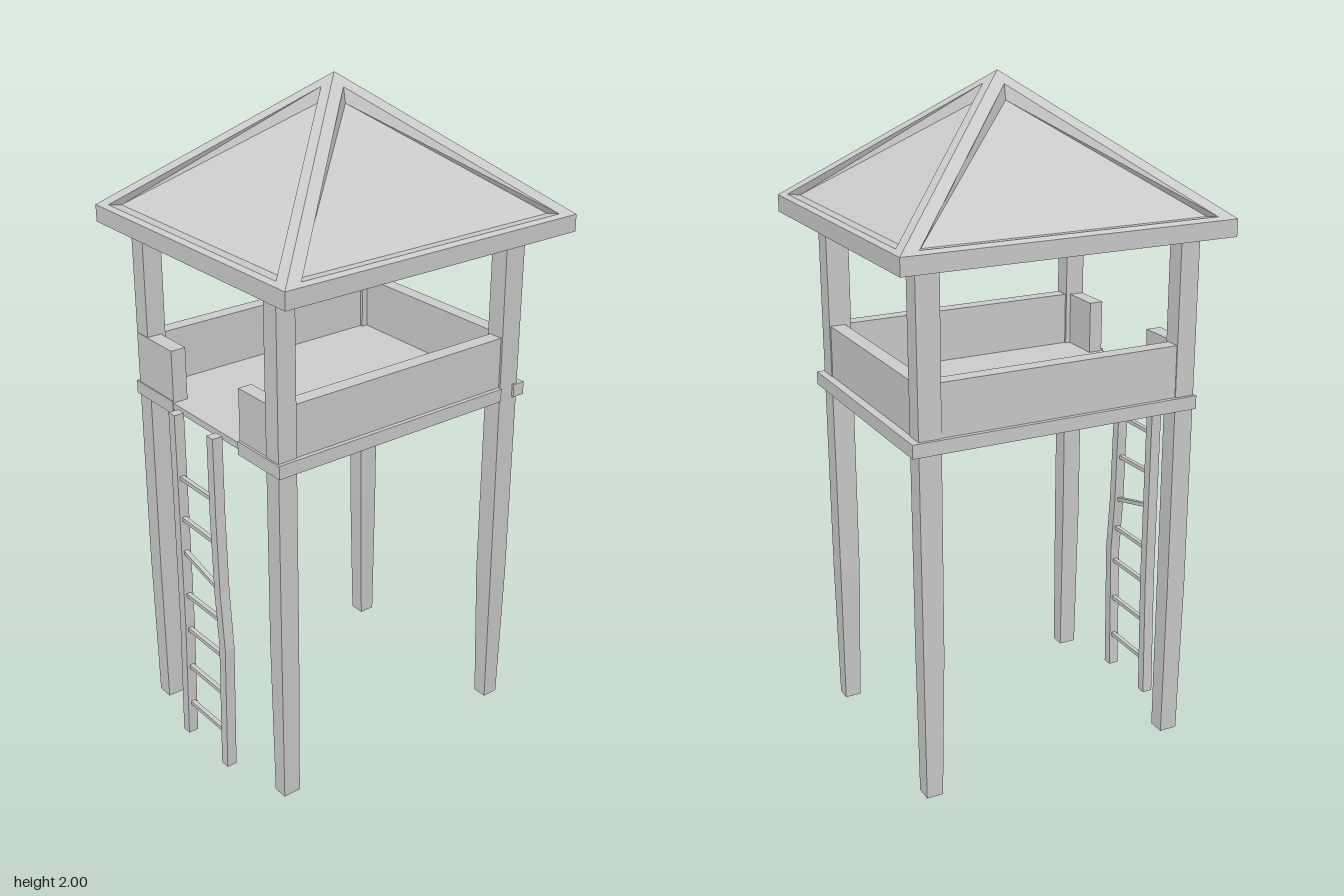
import * as THREE from 'three';

const material = new THREE.MeshStandardMaterial({ color: 0xcccccc, flatShading: true });

function addMesh(parent, name, geometry) {
  const mesh = new THREE.Mesh(geometry, material);
  mesh.name = name;
  parent.add(mesh);
  return mesh;
}

// Box given by its limits on each axis
function addBox(parent, name, [x0, x1], [y0, y1], [z0, z1]) {
  const geometry = new THREE.BoxGeometry(x1 - x0, y1 - y0, z1 - z0);
  geometry.translate((x0 + x1) / 2, (y0 + y1) / 2, (z0 + z1) / 2);
  return addMesh(parent, name, geometry);
}

// Hand-hewn timber: a box passing through stations [y, x0, x1, z0, z1], bottom to top
function addTimber(parent, name, stations) {
  const n = stations.length - 1;
  const geometry = new THREE.BoxGeometry(1, 1, 1, 1, n, 1);
  const pos = geometry.attributes.position;
  for (let i = 0; i < pos.count; i++) {
    const [y, x0, x1, z0, z1] = stations[Math.round((pos.getY(i) + 0.5) * n)];
    pos.setXYZ(i, pos.getX(i) < 0 ? x0 : x1, y, pos.getZ(i) < 0 ? z0 : z1);
  }
  geometry.computeVertexNormals();
  return addMesh(parent, name, geometry);
}

// Mesh from triangles and quads, corners counter-clockwise
function addFaces(parent, name, faces) {
  const points = [];
  for (const f of faces) {
    for (let i = 1; i < f.length - 1; i++) points.push(f[0], f[i], f[i + 1]);
  }
  const geometry = new THREE.BufferGeometry().setFromPoints(points);
  geometry.computeVertexNormals();
  return addMesh(parent, name, geometry);
}

// Rectangle corners, going round from front -x to front +x to back
const ring = (w, d, y) =>
  [[-1, 1], [1, 1], [1, -1], [-1, -1]].map(([sx, sz]) => new THREE.Vector3(sx * w, y, sz * d));

function buildRoof() {
  const roof = new THREE.Group();
  roof.name = 'roof';
  const apex = new THREE.Vector3(-0.01, 2, -0.01);
  const innerApex = new THREE.Vector3(-0.01, 1.93, -0.01);
  const low = ring(0.45, 0.5, 1.57);
  const eave = ring(0.45, 0.5, 1.62);
  const lowInner = ring(0.415, 0.455, 1.57);
  const topInner = ring(0.415, 0.455, 1.6);
  const rim = [], hips = [], panels = [], ceiling = [];

  for (let i = 0; i < 4; i++) {
    const j = (i + 1) % 4;
    // Point on the roof slope by weights, lowered by drop
    const at = (a, b, c, drop = 0) => new THREE.Vector3()
      .addScaledVector(eave[i], a).addScaledVector(eave[j], b).addScaledVector(apex, c)
      .add(new THREE.Vector3(0, -drop, 0));
    const outer = [eave[i], eave[j], apex];
    const edge = [at(0.93, 0.046, 0.024), at(0.046, 0.93, 0.024), at(0.045, 0.045, 0.91)];
    const sunk = [at(0.88, 0.03, 0.09, 0.028), at(0.03, 0.88, 0.09, 0.028), at(0.055, 0.055, 0.89, 0.035)];
    for (let k = 0; k < 3; k++) {
      const m = (k + 1) % 3;
      hips.push([outer[k], outer[m], edge[m], edge[k]], [edge[k], edge[m], sunk[m], sunk[k]]);
    }
    panels.push(sunk);
    rim.push(
      [low[i], low[j], eave[j], eave[i]],
      [low[j], low[i], lowInner[i], lowInner[j]],
      [lowInner[j], lowInner[i], topInner[i], topInner[j]],
    );
    ceiling.push([topInner[j], topInner[i], innerApex]);
  }
  addFaces(roof, 'eaveRim', rim);
  addFaces(roof, 'hipBeams', hips);
  addFaces(roof, 'roofPanels', panels);
  addFaces(roof, 'roofUnderside', ceiling);
  return roof;
}

function buildPosts() {
  const posts = new THREE.Group();
  posts.name = 'posts';
  const top = 1.61;
  addTimber(posts, 'frontLeftPost', [
    [0, 0.285, 0.33, 0.385, 0.44], [0.5, 0.28, 0.335, 0.385, 0.445], [top, 0.28, 0.335, 0.385, 0.445]]);
  addTimber(posts, 'frontRightPost', [
    [0, -0.35, -0.298, 0.385, 0.44], [0.5, -0.355, -0.298, 0.385, 0.445], [top, -0.355, -0.298, 0.385, 0.445]]);
  addTimber(posts, 'backLeftPost', [
    [0, 0.285, 0.33, -0.41, -0.36], [0.45, 0.275, 0.338, -0.415, -0.352], [top, 0.28, 0.338, -0.42, -0.35]]);
  addTimber(posts, 'backRightPost', [
    [0, -0.35, -0.3, -0.41, -0.36], [0.45, -0.355, -0.298, -0.415, -0.352], [top, -0.355, -0.298, -0.42, -0.35]]);
  return posts;
}

function buildPlatform() {
  const platform = new THREE.Group();
  platform.name = 'platform';
  addBox(platform, 'floor', [-0.345, 0.325], [1.07, 1.09], [-0.42, 0.448]);

  // Trim boards round the floor, open in front at the ladder
  const trim = [1.055, 1.095];
  addBox(platform, 'leftTrim', [0.305, 0.345], trim, [-0.35, 0.45]);
  addBox(platform, 'rightTrim', [-0.365, -0.325], trim, [-0.44, 0.45]);
  addBox(platform, 'backTrim', [-0.365, 0.345], trim, [-0.44, -0.4]);
  addBox(platform, 'frontTrimRight', [-0.365, -0.17], trim, [0.41, 0.45]);
  addBox(platform, 'frontTrimLeft', [0.155, 0.345], trim, [0.41, 0.45]);

  // Parapet walls
  const wall = [1.085, 1.25];
  addBox(platform, 'leftWall', [0.287, 0.332], wall, [-0.36, 0.4]);
  addBox(platform, 'rightWall', [-0.352, -0.307], wall, [-0.36, 0.4]);
  addBox(platform, 'backWall', [-0.31, 0.29], wall, [-0.415, -0.37]);
  addBox(platform, 'frontWallRight', [-0.352, -0.17], wall, [0.4, 0.447]);
  addBox(platform, 'frontWallLeft', [0.155, 0.29], wall, [0.4, 0.443]);
  return platform;
}

function buildLadder() {
  const ladder = new THREE.Group();
  ladder.name = 'ladder';
  // Crooked rails: [y, centre x, centre z]
  const rails = {
    rightRail: [[0, -0.111, 0.479], [0.4, -0.104, 0.477], [0.75, -0.108, 0.476], [1.09, -0.111, 0.476]],
    leftRail: [[0, 0.1, 0.479], [0.2, 0.105, 0.479], [0.42, 0.107, 0.477], [0.6, 0.09, 0.476],
      [0.85, 0.082, 0.476], [1.09, 0.081, 0.476]],
  };
  for (const [name, path] of Object.entries(rails)) {
    addTimber(ladder, name, path.map(([y, x, z]) => [y, x - 0.015, x + 0.015, z - 0.016, z + 0.016]));
  }
  // Rungs: height, and how far the left end sinks below the right end
  const rungs = [[0.11, 0], [0.245, 0], [0.38, 0], [0.5, 0], [0.625, 0.045], [0.755, 0.005], [0.89, 0]];
  for (const [y, sink] of rungs) {
    const rung = addMesh(ladder, 'rung', new THREE.BoxGeometry(0.2, 0.012, 0.014));
    rung.position.set(-0.008, y, 0.477);
    rung.rotation.z = -Math.atan2(sink, 0.18);
  }
  return ladder;
}

export function createModel() {
  const tower = new THREE.Group();
  tower.name = 'watchtower';
  tower.add(buildRoof(), buildPosts(), buildPlatform(), buildLadder());
  return tower;
}
